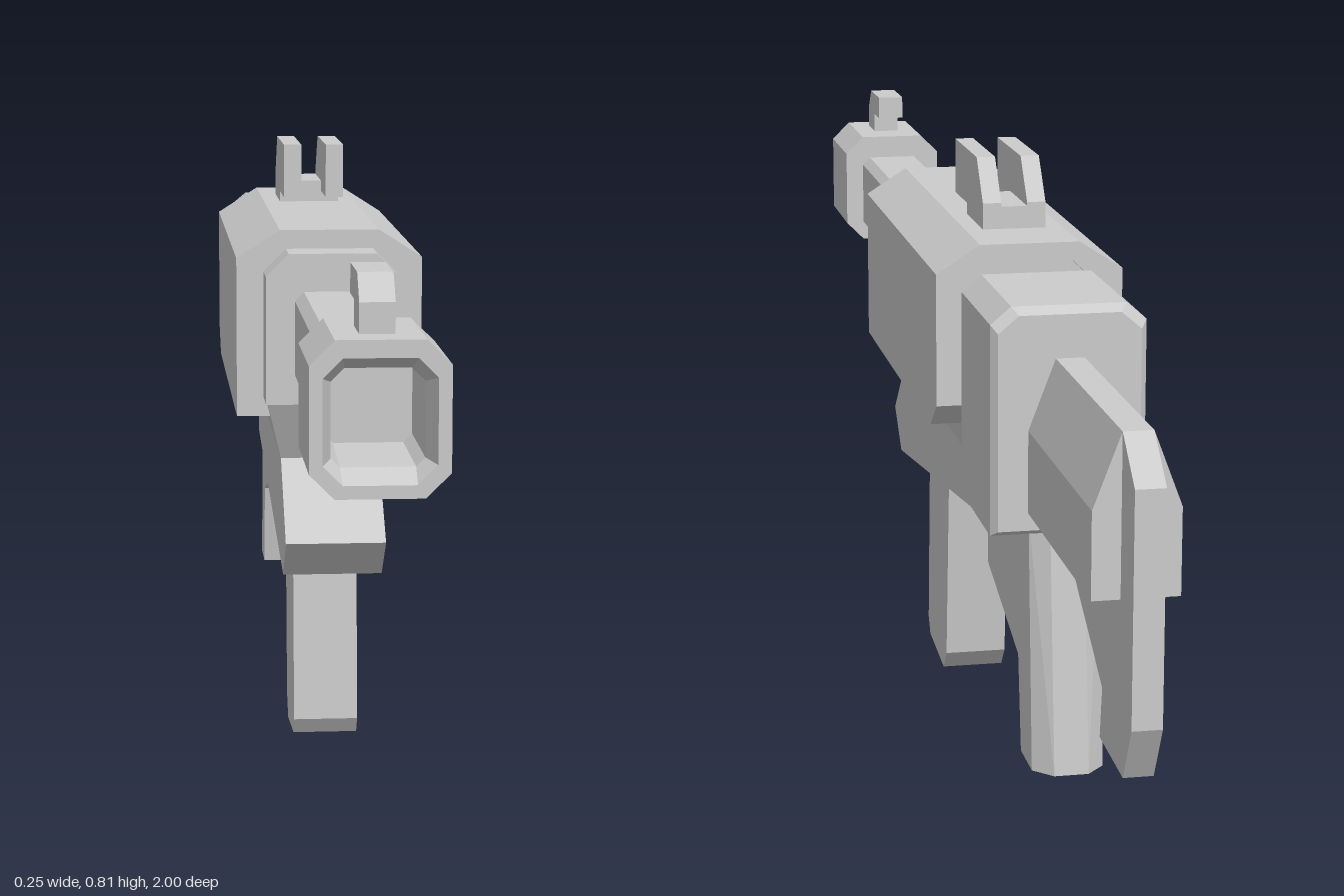
import * as THREE from 'three';

const material = new THREE.MeshStandardMaterial({ color: 0xcccccc, flatShading: true });

// Eight-sided section at depth z, with separate chamfers [dx, dy] for top and bottom corners
function section(z, w, y0, y1, top = [0, 0], bottom = [0, 0]) {
  const half = [[w - bottom[0], y0], [w, y0 + bottom[1]], [w, y1 - top[1]], [w - top[0], y1]];
  const mirrored = half.map(([x, y]) => [-x, y]).reverse();
  return [...half, ...mirrored].map(([x, y]) => new THREE.Vector3(x, y, z));
}

// Skin over sections ordered from back to front
function loft(sections, caps = true) {
  const pos = [];
  const tri = (...pts) => pts.forEach((p) => pos.push(p.x, p.y, p.z));
  const n = sections[0].length;
  for (let s = 0; s < sections.length - 1; s++) {
    const a = sections[s], b = sections[s + 1];
    for (let i = 0; i < n; i++) {
      const j = (i + 1) % n;
      tri(a[i], a[j], b[j]);
      tri(a[i], b[j], b[i]);
    }
  }
  if (caps) {
    const first = sections[0], last = sections[sections.length - 1];
    for (let i = 1; i < n - 1; i++) {
      tri(first[0], first[i + 1], first[i]);
      tri(last[0], last[i], last[i + 1]);
    }
  }
  const g = new THREE.BufferGeometry();
  g.setAttribute('position', new THREE.Float32BufferAttribute(pos, 3));
  g.computeVertexNormals();
  return g;
}

// Side profile of [z, y] points given a half width, optionally varying by widthAt(z, y)
function plate(points, w, widthAt) {
  const shape = new THREE.Shape(points.map(([z, y]) => new THREE.Vector2(z, y)));
  const g = new THREE.ExtrudeGeometry(shape, { depth: 2 * w, bevelEnabled: false });
  g.translate(0, 0, -w).rotateY(-Math.PI / 2);
  if (widthAt) {
    const p = g.attributes.position;
    for (let i = 0; i < p.count; i++) {
      p.setX(i, Math.sign(p.getX(i)) * widthAt(p.getZ(i), p.getY(i)));
    }
    g.computeVertexNormals();
  }
  return g;
}

export function createModel() {
  const model = new THREE.Group();
  const add = (name, geometry, x = 0) => {
    const mesh = new THREE.Mesh(geometry, material);
    mesh.name = name;
    mesh.position.x = x;
    model.add(mesh);
  };

  // Muzzle block with a tapered recess, and the barrel
  const c = [0.028, 0.028];
  add('muzzle', loft([
    section(0.83, 0.078, 0.51, 0.685, c, c),
    section(1, 0.078, 0.51, 0.685, c, c),
    section(1, 0.063, 0.525, 0.665, [0.022, 0.022], [0.022, 0.022]),
    section(0.97, 0.052, 0.54, 0.65, [0.015, 0.015], [0.01, 0.01]),
    section(0.85, 0.05, 0.545, 0.645, [0.015, 0.015], [0.01, 0.01]),
  ]));
  add('barrel', loft([
    section(0.3, 0.05, 0.54, 0.65, [0.012, 0.012]),
    section(0.84, 0.05, 0.54, 0.65, [0.012, 0.012]),
  ]));

  // Front sight
  add('frontSight', plate([
    [0.957, 0.68], [0.957, 0.72], [0.93, 0.75], [0.84, 0.75],
    [0.84, 0.715], [0.893, 0.715], [0.893, 0.68],
  ], 0.02));

  // Receiver: inner core showing at both ends, with a wider shell around it
  const coreTop = [0.03, 0.03];
  add('receiverCore', loft([
    section(-0.3, 0.088, 0.5, 0.7, coreTop),
    section(0.33, 0.088, 0.5, 0.7, coreTop),
  ]));
  const shellTop = [0.058, 0.037];
  const outerRear = section(-0.34, 0.124, 0.512, 0.725, shellTop);
  add('receiverShell', loft([
    outerRear,
    section(-0.29, 0.124, 0.475, 0.725, shellTop),
    section(0.27, 0.124, 0.475, 0.725, shellTop),
    section(0.27, 0.088, 0.515, 0.7, coreTop),
    section(-0.34, 0.088, 0.515, 0.7, coreTop),
    outerRear,
  ], false));

  // Forward handguard, flaring outwards to meet the receiver
  add('handguardFlare', plate(
    [[0.285, 0.42], [0.33, 0.51], [-0.29, 0.51], [-0.29, 0.42]],
    0.088, (z, y) => (y < 0.45 ? 0.066 : 0.088)));
  add('handguard', plate(
    [[0.285, 0.42], [-0.29, 0.42], [-0.29, 0.355], [0.33, 0.27], [0.39, 0.325]], 0.066));

  // Magazine
  add('magazine', plate([
    [0.188, 0.34], [0.21, 0.035], [0.195, 0.012], [0.075, 0], [0.05, 0.03], [0.02, 0.35],
  ], 0.044));

  // Rear sight: two plates on a low base
  for (const x of [-0.03, 0.03]) {
    add('rearSightPlate', plate([
      [-0.027, 0.815], [-0.027, 0.74], [-0.118, 0.74], [-0.118, 0.72],
      [-0.235, 0.72], [-0.235, 0.76], [-0.19, 0.815],
    ], 0.0125), x);
  }
  add('rearSightBase', plate(
    [[-0.12, 0.72], [-0.12, 0.755], [-0.235, 0.755], [-0.235, 0.72]], 0.02));

  // Neck and rear block
  add('neck', loft([
    section(-0.38, 0.06, 0.48, 0.645, [0.02, 0.02]),
    section(-0.29, 0.06, 0.48, 0.645, [0.02, 0.02]),
  ]));
  const blockTop = [0.026, 0.022];
  add('rearBlock', loft([
    section(-0.588, 0.09, 0.412, 0.685, blockTop),
    section(-0.578, 0.098, 0.405, 0.695, blockTop),
    section(-0.382, 0.098, 0.405, 0.695, blockTop),
    section(-0.355, 0.062, 0.5, 0.652, blockTop),
  ]));

  // Grip with a chamfered back strap
  add('grip', plate([
    [-0.29, 0.48], [-0.34, 0.515], [-0.355, 0.51], [-0.38, 0.42], [-0.563, 0.42],
    [-0.59, 0.095], [-0.52, 0.095], [-0.5, 0.22], [-0.29, 0.28],
  ], 0.046));
  add('gripBackStrap', plate(
    [[-0.563, 0.42], [-0.58, 0.42], [-0.615, 0.095], [-0.59, 0.095]],
    0.046, (z, y) => (z < -0.573 - (0.405 - y) * 0.08 ? 0.022 : 0.046)));

  // Stock body with sloping sides, over a thin butt plate
  add('stockBody', loft([
    section(-0.94, 0.052, 0.435, 0.63, [0.034, 0.09]),
    section(-0.57, 0.052, 0.435, 0.63, [0.034, 0.09]),
  ]));
  add('buttPlate', plate([
    [-0.6, 0.45], [-0.62, 0.435], [-0.855, 0.3], [-0.845, 0.235], [-0.962, 0.23],
    [-1, 0.3], [-1, 0.58], [-0.94, 0.63], [-0.9, 0.62], [-0.9, 0.45],
  ], 0.018));

  return model;
}
